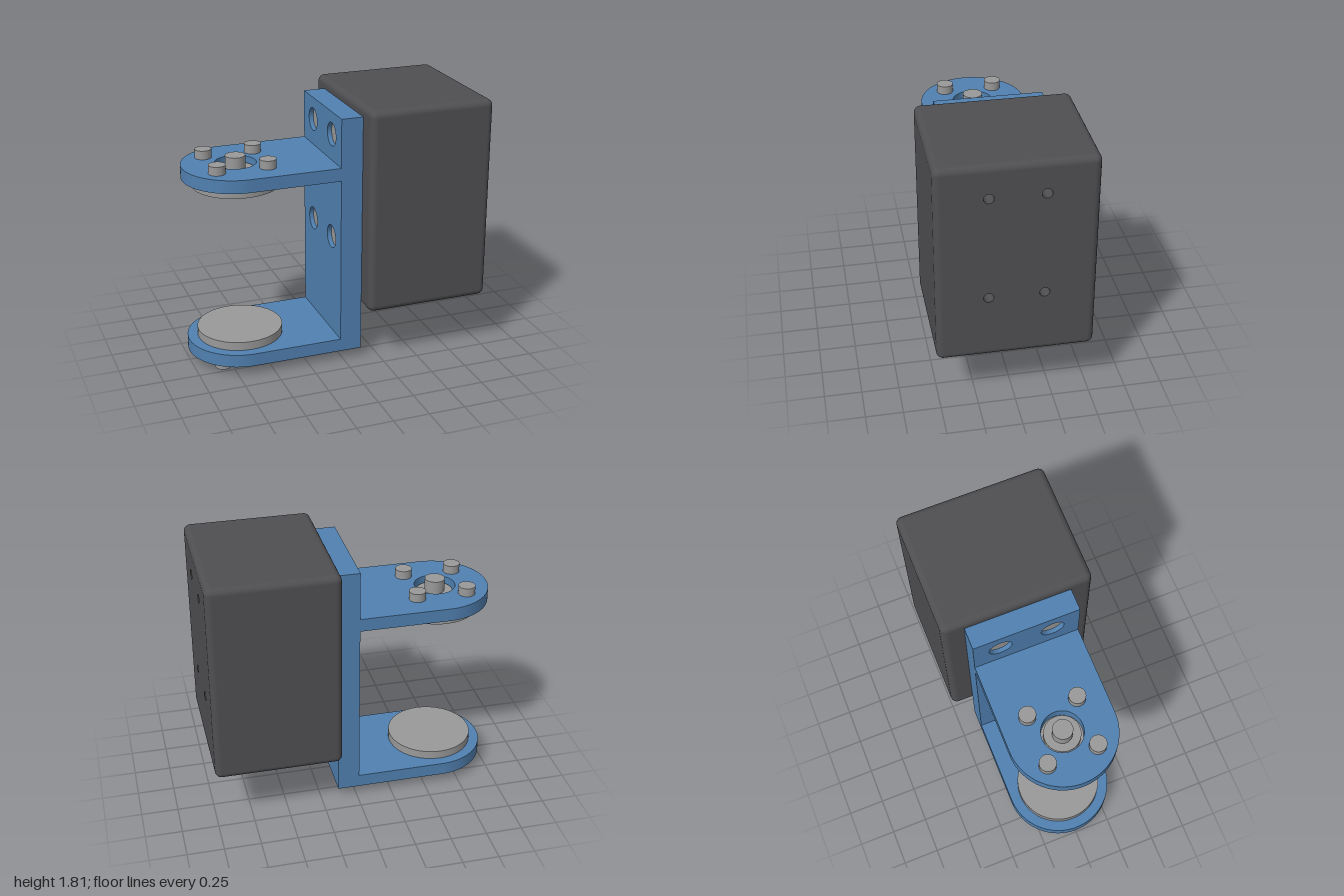
import * as THREE from 'three';
import { mergeGeometries, toCreasedNormals } from 'three/addons/utils/BufferGeometryUtils.js';
import { RoundedBoxGeometry } from 'three/addons/geometries/RoundedBoxGeometry.js';

const paint = (color) => new THREE.MeshStandardMaterial({ color });
const BLUE = paint(0x5080b0), DARK = paint(0x4f4f52), GREY = paint(0x999999);

const PIVOT = -0.635;                       // x of the horn axis
const HALF = 0.365;                         // half width of the bracket
const MOUNTS = [0.855, 1.585].flatMap((y) => [-0.18, 0.18].map((z) => [z, y]));

function circle(x, y, r) {
  return new THREE.Path().absarc(x, y, r, 0, Math.PI * 2, true);
}

function rectangle(w, y0, y1) {
  return new THREE.Shape([[-w, y0], [w, y0], [w, y1], [-w, y1]].map((p) => new THREE.Vector2(...p)));
}

function extrude(shape, depth) {
  const g = new THREE.ExtrudeGeometry(shape, { depth, bevelEnabled: false, curveSegments: 32 });
  return toCreasedNormals(g, 0.5);
}

// Dark housing: rounded box whose outer flat face is swapped for one with screw holes
function housingGeometry() {
  const w = 0.87, h = 1.415, d = 1.034, r = 0.045, cx = 0.565, cy = 1.1025;
  const holeR = 0.033, depth = 0.25, face = cx + w / 2;
  const box = new RoundedBoxGeometry(w, h, d, 4, r).translate(cx, cy, 0);
  const src = box.index ? box.toNonIndexed() : box;
  const pos = src.attributes.position, nor = src.attributes.normal;
  const keptPos = [], keptNor = [];
  for (let i = 0; i < pos.count; i += 3) {
    if ([0, 1, 2].every((k) => pos.getX(i + k) > face - 1e-4)) continue;
    for (let k = i; k < i + 3; k++) {
      keptPos.push(pos.getX(k), pos.getY(k), pos.getZ(k));
      keptNor.push(nor.getX(k), nor.getY(k), nor.getZ(k));
    }
  }
  const shell = new THREE.BufferGeometry();
  shell.setAttribute('position', new THREE.Float32BufferAttribute(keptPos, 3));
  shell.setAttribute('normal', new THREE.Float32BufferAttribute(keptNor, 3));

  const panel = rectangle(d / 2 - r, cy - h / 2 + r, cy + h / 2 - r);
  MOUNTS.forEach(([z, y]) => panel.holes.push(circle(z, y, holeR)));
  const parts = [new THREE.ShapeGeometry(panel, 24).rotateY(Math.PI / 2).translate(face, 0, 0)];
  for (const [z, y] of MOUNTS) {
    // Negative radius turns the wall to face inward
    const wall = new THREE.CylinderGeometry(holeR, holeR, depth, 24, 1, true);
    const idx = wall.index.array;
    for (let i = 0; i < idx.length; i += 3) [idx[i], idx[i + 1]] = [idx[i + 1], idx[i]];
    wall.computeVertexNormals();
    parts.push(wall.rotateZ(Math.PI / 2).translate(face - depth / 2, y, z));
    parts.push(new THREE.CircleGeometry(holeR, 24).rotateY(Math.PI / 2).translate(face - depth, y, z));
  }
  const flat = parts.map((g) => {
    const n = g.toNonIndexed();
    n.deleteAttribute('uv');
    return n;
  });
  return mergeGeometries([shell, ...flat]);
}

export function createModel() {
  const model = new THREE.Group();
  const add = (name, geometry, material) => {
    const mesh = new THREE.Mesh(geometry, material);
    mesh.name = name;
    model.add(mesh);
  };
  const disc = (name, x, z, r, y0, y1) =>
    add(name, new THREE.CylinderGeometry(r, r, y1 - y0, 48).translate(x, (y0 + y1) / 2, z), GREY);

  add('housing', housingGeometry(), DARK);

  // Upright plate with recessed mounting screws
  const plate = rectangle(HALF, 0.065, 1.74);
  MOUNTS.forEach(([z, y]) => plate.holes.push(circle(z, y, 0.08)));
  add('bracketPlate', extrude(plate, 0.15).rotateY(Math.PI / 2).translate(-0.02, 0, 0), BLUE);
  for (const [z, y] of MOUNTS) {
    const head = new THREE.CylinderGeometry(0.079, 0.079, 0.12, 32).rotateZ(Math.PI / 2);
    add('mountingScrew', head.translate(0.07, y, z), GREY);
  }

  // Round-ended arms, each with a horn on the inside and four screws outside
  const arm = new THREE.Shape();
  arm.moveTo(-0.02, -HALF);
  arm.lineTo(-0.02, HALF);
  arm.lineTo(PIVOT, HALF);
  arm.absarc(PIVOT, 0, HALF, Math.PI / 2, Math.PI * 1.5, false);
  arm.holes.push(circle(PIVOT, 0, 0.14));
  const levels = [
    { side: 'lower', y: 0.065, horn: [0.155, 0.215], screw: [0, 0.065] },
    { side: 'upper', y: 1.315, horn: [1.255, 1.315], screw: [1.405, 1.465] },
  ];
  for (const { side, y, horn, screw } of levels) {
    add(side + 'Arm', extrude(arm, 0.09).rotateX(-Math.PI / 2).translate(0, y, 0), BLUE);
    disc(side + 'Horn', PIVOT, 0, 0.295, ...horn);
    for (const dx of [-0.173, 0.173])
      for (const z of [-0.173, 0.173]) disc(side + 'HornScrew', PIVOT + dx, z, 0.057, ...screw);
  }

  // Output hub and its centre screw in the upper arm
  disc('hub', PIVOT, 0, 0.123, 1.315, 1.365);
  disc('centreScrew', PIVOT, 0, 0.068, 1.365, 1.455);
  return model;
}
